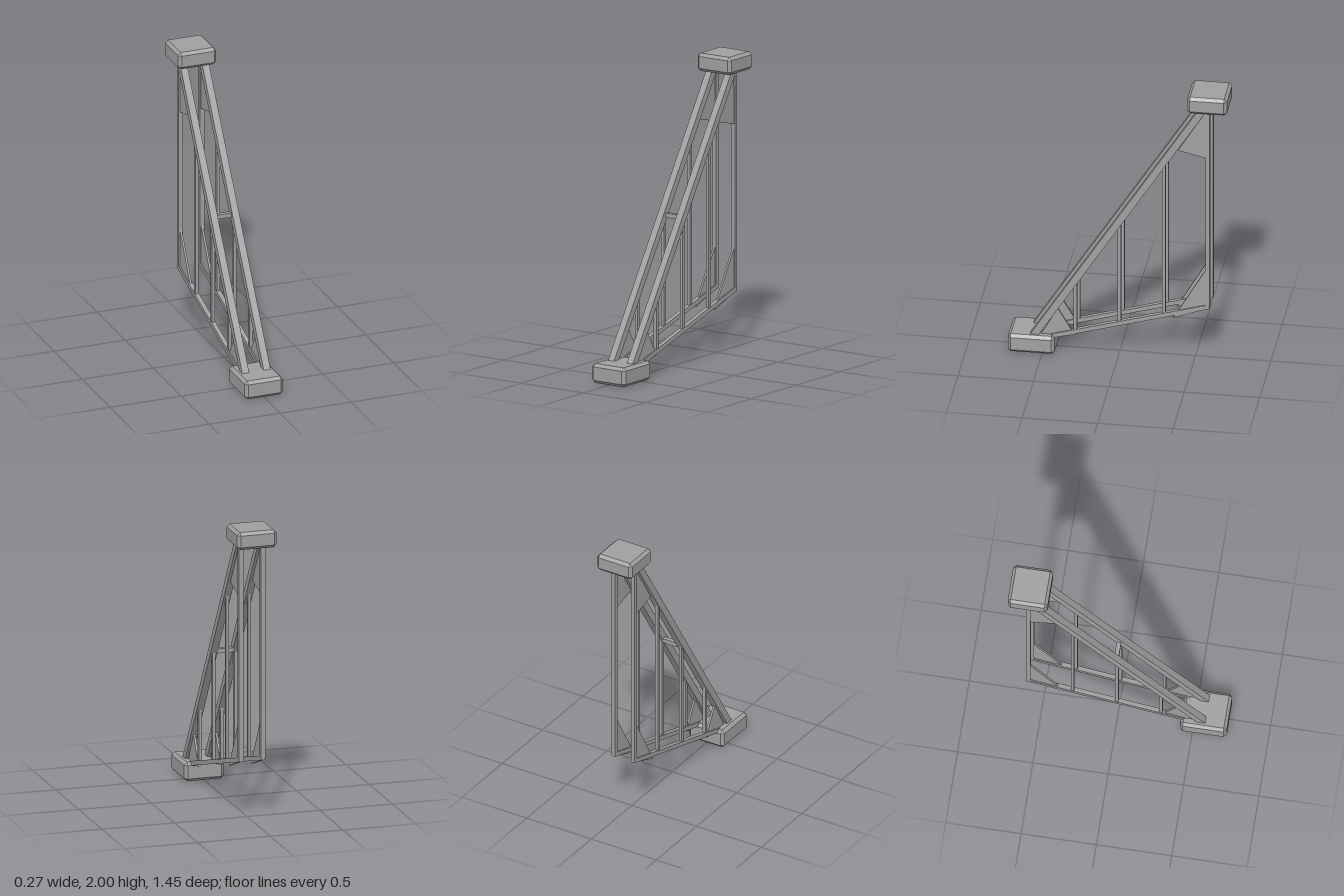
import * as THREE from 'three';
import { ConvexGeometry } from 'three/addons/geometries/ConvexGeometry.js';

export function createModel() {
  const model = new THREE.Group();
  model.name = 'bracketFrame';
  const grey = new THREE.MeshStandardMaterial({ color: 0xa0a0a0 });
  grey.name = 'grey';

  const add = (name, geometry, parent = model) => {
    const mesh = new THREE.Mesh(geometry, grey);
    mesh.name = name;
    parent.add(mesh);
    return mesh;
  };

  // Box with every edge bevelled
  function block(name, w, h, d, y, z, c = 0.02) {
    const pts = [];
    for (const sx of [-1, 1]) for (const sy of [-1, 1]) for (const sz of [-1, 1])
      for (const [a, b, e] of [[0, c, c], [c, 0, c], [c, c, 0]])
        pts.push(new THREE.Vector3(sx * (w / 2 - a), sy * (h / 2 - b), sz * (d / 2 - e)));
    add(name, new ConvexGeometry(pts)).position.set(0, y, z);
  }

  // Square bar between two [z, y] points in a side frame
  function bar(name, parent, [z0, y0], [z1, y1], wide, deep) {
    const dz = z1 - z0, dy = y1 - y0;
    const mesh = add(name, new THREE.BoxGeometry(wide, Math.hypot(dz, dy), deep), parent);
    mesh.position.set(0, (y0 + y1) / 2, (z0 + z1) / 2);
    mesh.rotation.x = Math.atan2(dz, dy);
  }

  // Thin triangular plate from [z, y] corners
  function gusset(name, parent, corners) {
    const t = 0.014;
    const shape = new THREE.Shape(corners.map(([z, y]) => new THREE.Vector2(-z, y)));
    const geo = new THREE.ExtrudeGeometry(shape, { depth: t, bevelEnabled: false });
    geo.translate(0, 0, -t / 2).rotateY(Math.PI / 2);
    add(name, geo, parent);
  }

  // End blocks
  block('footBlock', 0.27, 0.13, 0.31, 0.065, 0.572);
  block('topBlock', 0.27, 0.12, 0.265, 1.94, -0.594);

  // Centre lines of the sloping members
  const beamY = (z) => 1.005 - 1.584 * z;
  const railY = (z) => 0.247 - 0.29 * z;

  // Two mirrored side frames
  for (const [side, s] of [['left', 1], ['right', -1]]) {
    const frame = new THREE.Group();
    frame.name = side + 'Frame';
    frame.position.x = 0.0755 * s;
    model.add(frame);

    bar('mainBeam', frame, [0.57, beamY(0.57)], [-0.575, beamY(-0.575)], 0.048, 0.048);
    bar('lowerRail', frame, [0.48, railY(0.48)], [-0.602, railY(-0.602)], 0.03, 0.03);
    bar('rearPost', frame, [-0.594, 0.417], [-0.594, 1.92], 0.03, 0.028);
    for (const z of [0.285, -0.008, -0.302])
      bar('strut', frame, [z, railY(z)], [z, beamY(z)], 0.022, 0.022);

    gusset('topGusset', frame, [[-0.578, 1.87], [-0.395, 1.575], [-0.585, 1.53]]);
    gusset('rearGusset', frame, [[-0.585, 0.7], [-0.365, 0.318], [-0.585, 0.4]]);
    gusset('footGusset', frame, [[0.4, 0.325], [0.289, 0.138], [0.54, 0.08]]);
  }

  // Tie between the main beams
  add('crossTie', new THREE.BoxGeometry(0.11, 0.03, 0.03)).position.set(0, 1.005, -0.015);

  return model;
}
